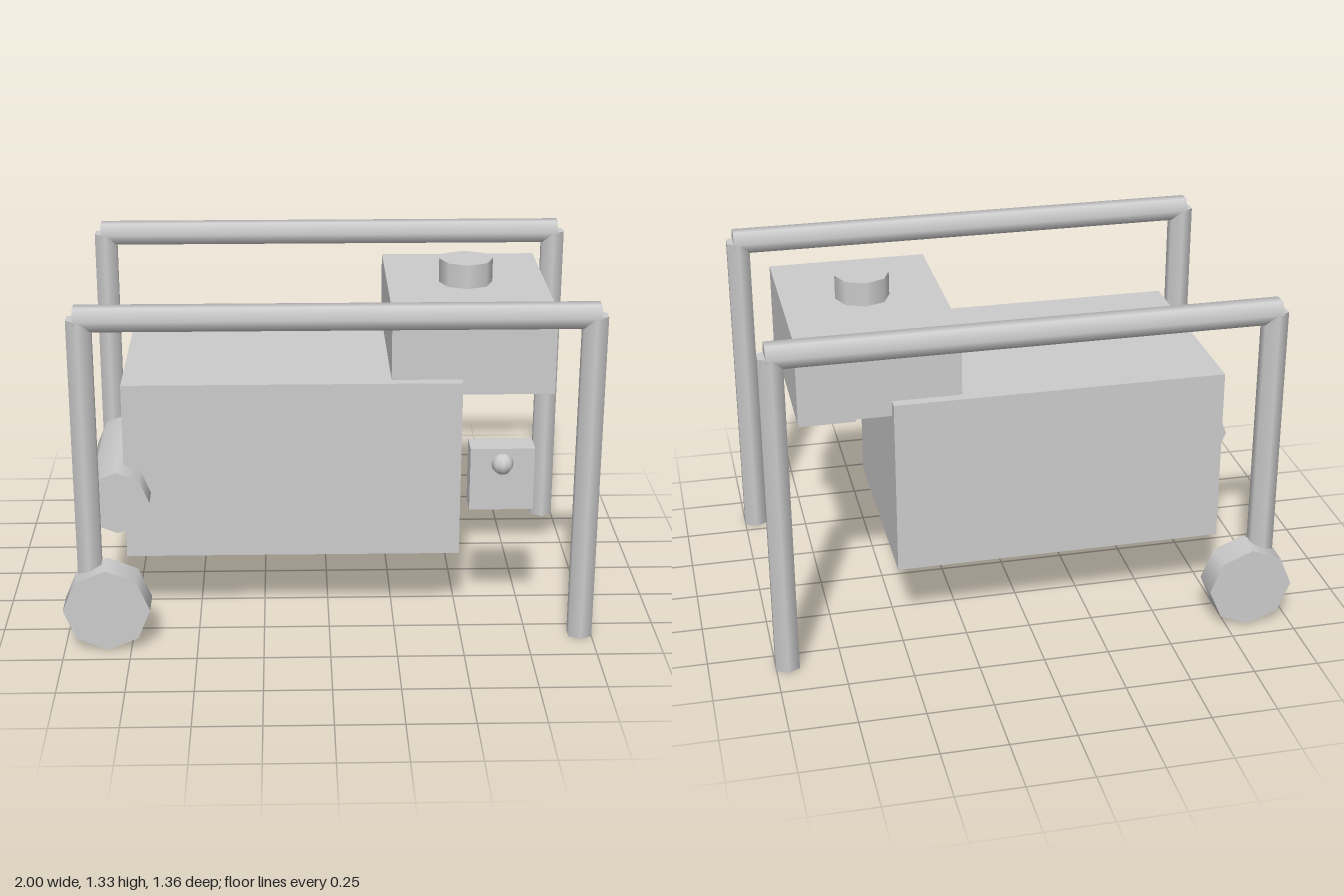
import * as THREE from 'three';

export function createModel() {
  const model = new THREE.Group();
  model.name = 'portableGenerator';
  const grey = new THREE.MeshStandardMaterial({ color: 0xcccccc });
  grey.name = 'grey';

  const add = (name, geometry, x, y, z) => {
    const mesh = new THREE.Mesh(geometry, grey);
    mesh.name = name;
    mesh.position.set(x, y, z);
    model.add(mesh);
    return mesh;
  };
  const box = (name, w, h, d, x, y, z) => add(name, new THREE.BoxGeometry(w, h, d), x, y, z);
  const rod = (name, r, length, sides, x, y, z) =>
    add(name, new THREE.CylinderGeometry(r, r, length, sides), x, y, z);

  // Engine block, fuel tank and filler cap
  box('engineBody', 1.275, 0.695, 0.864, -0.137, 0.6225, 0);
  box('fuelTank', 0.615, 0.325, 0.78, 0.543, 1.072, 0);
  rod('fuelCap', 0.104, 0.11, 8, 0.541, 1.273, 0);

  // Control box with its knob
  box('controlBox', 0.24, 0.245, 0.105, 0.645, 0.6225, 0.4775);
  add('controlKnob', new THREE.SphereGeometry(0.041, 8, 8), 0.645, 0.685, 0.53);

  // Exhaust muffler across one end
  rod('muffler', 0.123, 0.615, 8, -0.797, 0.539, 0.2225).rotation.x = Math.PI / 2;

  // Tubular frame and wheels, mirrored front to back
  for (const side of [1, -1]) {
    const where = side > 0 ? 'Front' : 'Back';
    const z = 0.578 * side;
    rod('rightLeg' + where, 0.051, 1.28, 6, -0.901, 0.64, z);
    rod('leftLeg' + where, 0.051, 1.28, 6, 0.956, 0.64, z);
    rod('topRail' + where, 0.051, 1.893, 6, 0.0275, 1.28, z).rotation.z = Math.PI / 2;
    rod('wheel' + where, 0.163, 0.122, 8, -0.837, 0.166, 0.619 * side).rotation.x = Math.PI / 2;
  }

  return model;
}
